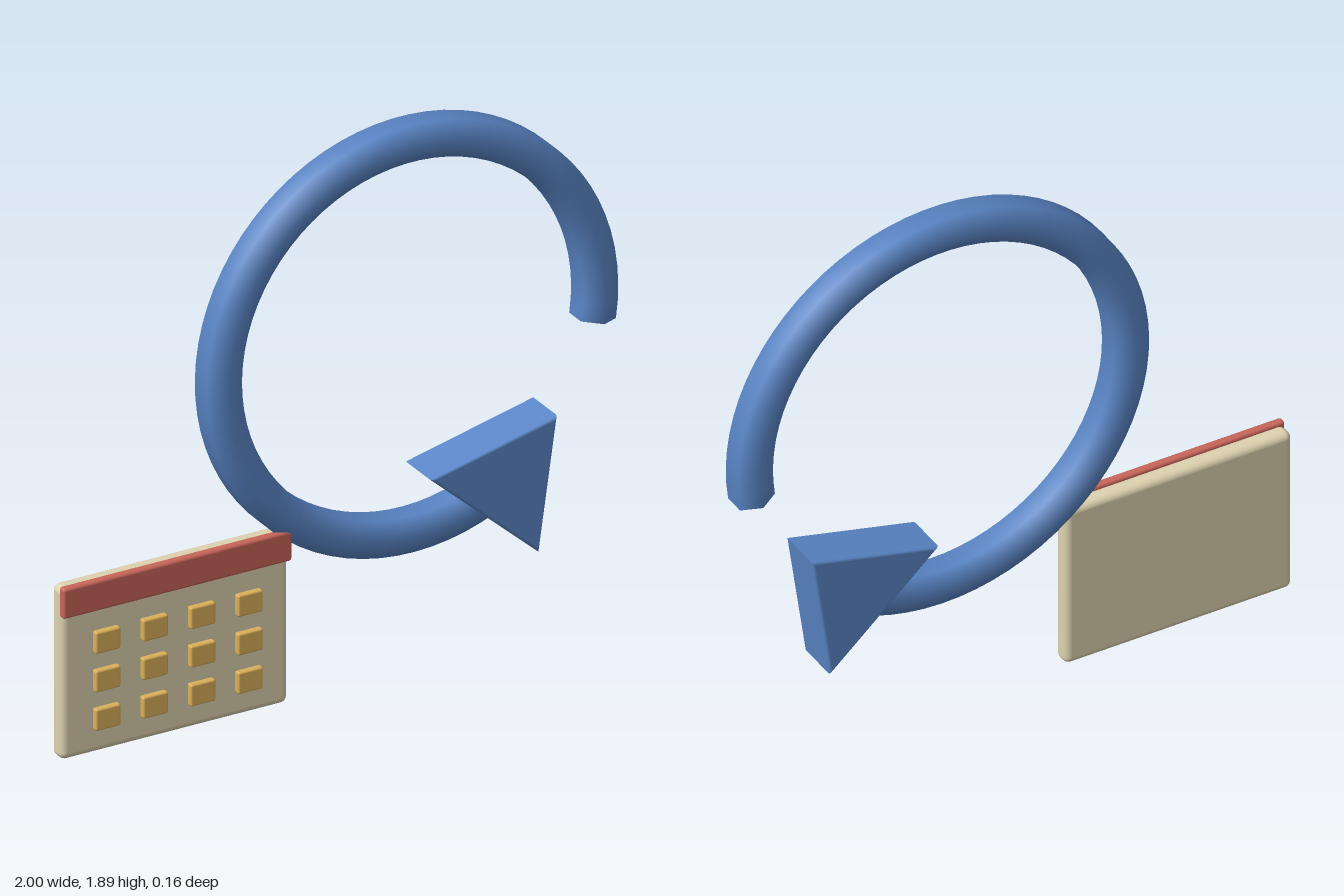
import * as THREE from 'three';
import { mergeVertices } from 'three/addons/utils/BufferGeometryUtils.js';
import { RoundedBoxGeometry } from 'three/addons/geometries/RoundedBoxGeometry.js';

const material = (name, color) => {
  const m = new THREE.MeshStandardMaterial({ color });
  m.name = name;
  return m;
};

export function createModel() {
  const group = new THREE.Group();
  const blue = material('blue', 0x5b87c8);
  const cream = material('cream', 0xded3b0);
  const red = material('red', 0xc9665a);
  const gold = material('gold', 0xdbb059);

  const add = (name, geometry, mat, x, y, z) => {
    const mesh = new THREE.Mesh(geometry, mat);
    mesh.name = name;
    mesh.position.set(x, y, z);
    group.add(mesh);
    return mesh;
  };

  // Calendar page, header strip and grid of day tiles
  add('calendarPage', new RoundedBoxGeometry(0.815, 0.595, 0.064, 4, 0.024), cream, -0.588, 0.2985, 0);
  add('calendarHeader', new RoundedBoxGeometry(0.82, 0.105, 0.03, 3, 0.01), red, -0.589, 0.552, 0.037);
  const tile = new RoundedBoxGeometry(0.09, 0.075, 0.025, 2, 0.007);
  for (let row = 0; row < 3; row++) {
    for (let col = 0; col < 4; col++) {
      add('dayTile', tile, gold, -0.84 + col * 0.17, 0.125 + row * 0.133, 0.0435);
    }
  }

  // Open ring: a six-sided section swept round the z axis, smooth shaded
  const R = 0.674, r = 0.073, start = THREE.MathUtils.degToRad(-8.6);
  const section = [];
  for (let i = 0; i <= 6; i++) {
    const a = Math.PI / 6 + (i * Math.PI) / 3;
    section.push(new THREE.Vector2(R + r * Math.cos(a), r * Math.sin(a)));
  }
  const sweep = THREE.MathUtils.degToRad(308);
  let ring = new THREE.LatheGeometry(section, 64, start + Math.PI / 2, sweep);
  ring.deleteAttribute('uv');
  ring.deleteAttribute('normal');
  ring = mergeVertices(ring, 1e-4);
  ring.computeVertexNormals();
  ring.rotateX(Math.PI / 2);
  add('arrowRing', ring, blue, 0.26, 1.15, 0);

  // Flat cap on the free end of the ring
  const cap = new THREE.CircleGeometry(r, 6, Math.PI / 6);
  cap.rotateX(Math.PI / 2).translate(R, 0, 0).rotateZ(start);
  add('ringEndCap', cap, blue, 0.26, 1.15, 0);

  // Bevelled triangular arrowhead
  const bevel = 0.012;
  const triangle = new THREE.Shape([
    new THREE.Vector2(0.30, 0.67),
    new THREE.Vector2(0.69, 0.323),
    new THREE.Vector2(0.756, 0.778),
  ]);
  const head = new THREE.ExtrudeGeometry(triangle, {
    depth: 0.16 - 2 * bevel,
    bevelSize: bevel,
    bevelThickness: bevel,
    bevelOffset: -bevel,
    bevelSegments: 3,
  });
  add('arrowHead', head, blue, 0, 0, -0.08 + bevel);

  return group;
}
